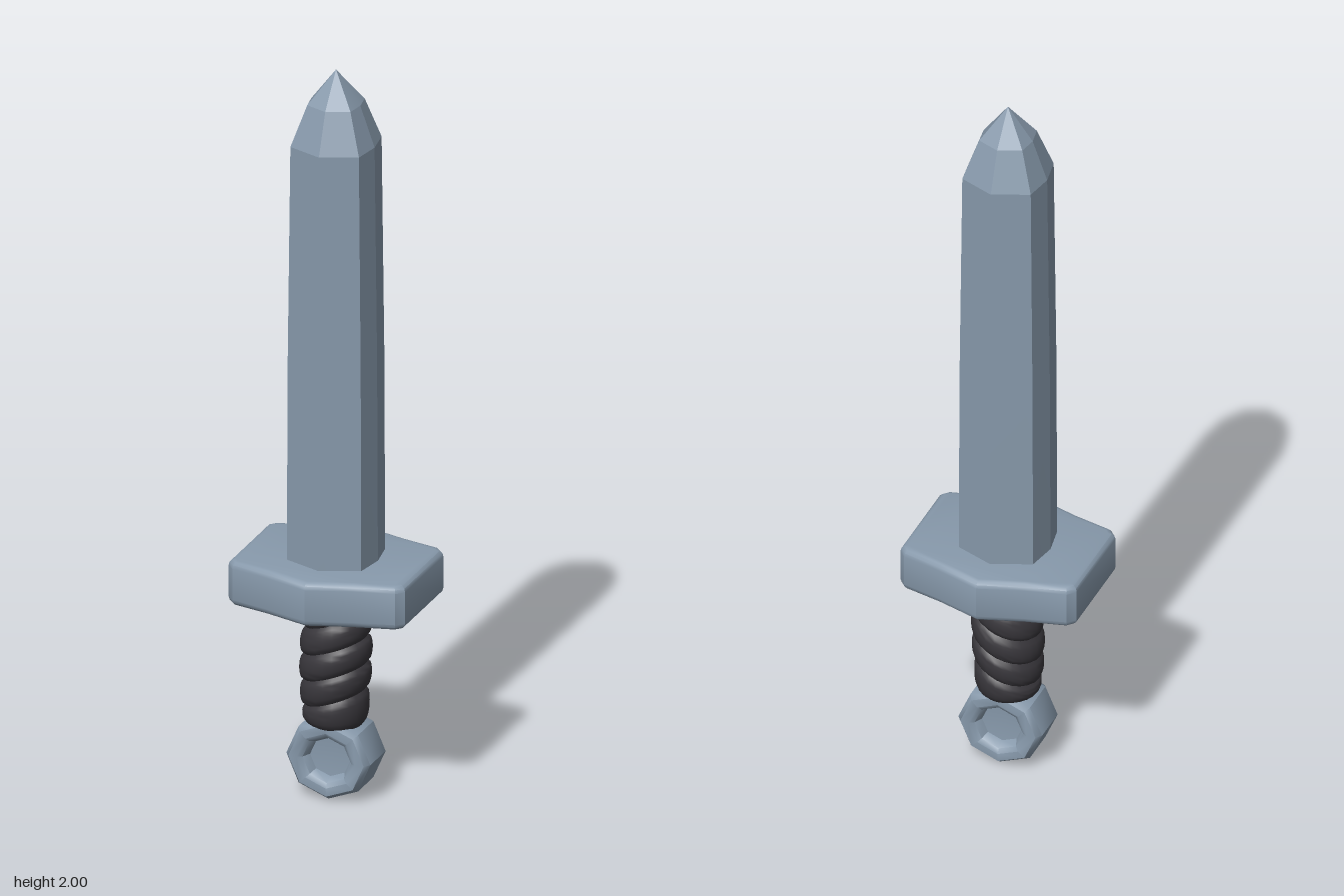
import * as THREE from 'three';
import { toCreasedNormals } from 'three/addons/utils/BufferGeometryUtils.js';

const steel = new THREE.MeshStandardMaterial({ color: 0x8799ab });
steel.name = 'steel';
const leather = new THREE.MeshStandardMaterial({ color: 0x38363b });
leather.name = 'dark leather';

function part(name, geometry, material) {
  const mesh = new THREE.Mesh(geometry, material);
  mesh.name = name;
  return mesh;
}

// Eight-sided blade lofted through scaled cross-sections
function bladeGeometry() {
  const ring = [[0, 0.122], [0.103, 0.081], [0.116, 0], [0.103, -0.081],
    [0, -0.122], [-0.103, -0.081], [-0.118, 0], [-0.103, 0.081]];
  // height, scale in x, scale in z
  const levels = [[0.6, 1, 1], [1.2, 0.98, 0.99], [1.8, 0.92, 0.95], [1.91, 0.58, 0.6], [2, 0, 0]];
  const pos = [], idx = [], n = ring.length;
  for (const [y, sx, sz] of levels) for (const [x, z] of ring) pos.push(x * sx, y, z * sz);
  for (let l = 0; l < levels.length - 1; l++) {
    for (let i = 0; i < n; i++) {
      const a = l * n + i, b = l * n + (i + 1) % n;
      idx.push(a, b, b + n);
      if (l < levels.length - 2) idx.push(a, b + n, a + n);
    }
  }
  const g = new THREE.BufferGeometry();
  g.setAttribute('position', new THREE.Float32BufferAttribute(pos, 3));
  g.setIndex(idx);
  return toCreasedNormals(g, 0.25);
}

// Pointed hexagonal crossguard with clipped corners and soft edges
function guardGeometry() {
  const quarter = [[0.244, 0.13], [0.225, 0.151], [0.12, 0.176], [0, 0.214]];
  const mirrored = quarter.slice(0, 3).reverse().map(([x, z]) => [-x, z]);
  const half = [...quarter, ...mirrored];
  const outline = [...half, ...half.map(([x, z]) => [-x, -z])];
  const shape = new THREE.Shape(outline.map(([x, z]) => new THREE.Vector2(x, z)));
  const bevel = 0.018;
  const g = new THREE.ExtrudeGeometry(shape, {
    depth: 0.122 - 2 * bevel, bevelEnabled: true, bevelThickness: bevel,
    bevelSize: bevel, bevelOffset: -bevel, bevelSegments: 3,
  });
  g.rotateX(-Math.PI / 2);
  g.translate(0, 0.535 + bevel, 0);
  return toCreasedNormals(g, 0.6);
}

// Grip of bulging leather bands, slanted across the front
function gripGeometry() {
  const y0 = 0.195, y1 = 0.555, bands = 5, steps = 8, profile = [];
  for (let i = 0; i <= bands * steps; i++) {
    const t = i / (bands * steps);
    const body = 0.07 + 0.012 * Math.sin(Math.PI * t);
    const bulge = 0.013 * Math.sqrt(Math.abs(Math.sin(Math.PI * bands * t)));
    profile.push(new THREE.Vector2(body + bulge, y0 + (y1 - y0) * t));
  }
  const g = new THREE.LatheGeometry(profile, 24);
  const p = g.attributes.position;
  for (let i = 0; i < p.count; i++) {
    const t = (p.getY(i) - y0) / (y1 - y0);
    const slant = 0.34 * Math.min(1, 5 * t, 5 * (1 - t));
    p.setY(i, p.getY(i) + slant * p.getX(i));
  }
  return toCreasedNormals(g, 0.9);
}

// Faceted round pommel, dished on both faces
function pommelGeometry() {
  const side = [[0.116, 0.052], [0.104, 0.068], [0.08, 0.07], [0.067, 0.062], [0.056, 0.038], [0, 0.034]];
  const profile = [...side.map(([r, z]) => [r, -z]).reverse(), ...side];
  const g = new THREE.LatheGeometry(profile.map(([r, z]) => new THREE.Vector2(r, z)), 8);
  g.rotateX(Math.PI / 2);
  g.scale(1, 0.95, 1);
  g.translate(0, 0.11, 0);
  return toCreasedNormals(g, 0.7);
}

export function createModel() {
  const sword = new THREE.Group();
  sword.name = 'sword';
  sword.add(
    part('blade', bladeGeometry(), steel),
    part('crossguard', guardGeometry(), steel),
    part('grip', gripGeometry(), leather),
    part('pommel', pommelGeometry(), steel),
  );
  return sword;
}
